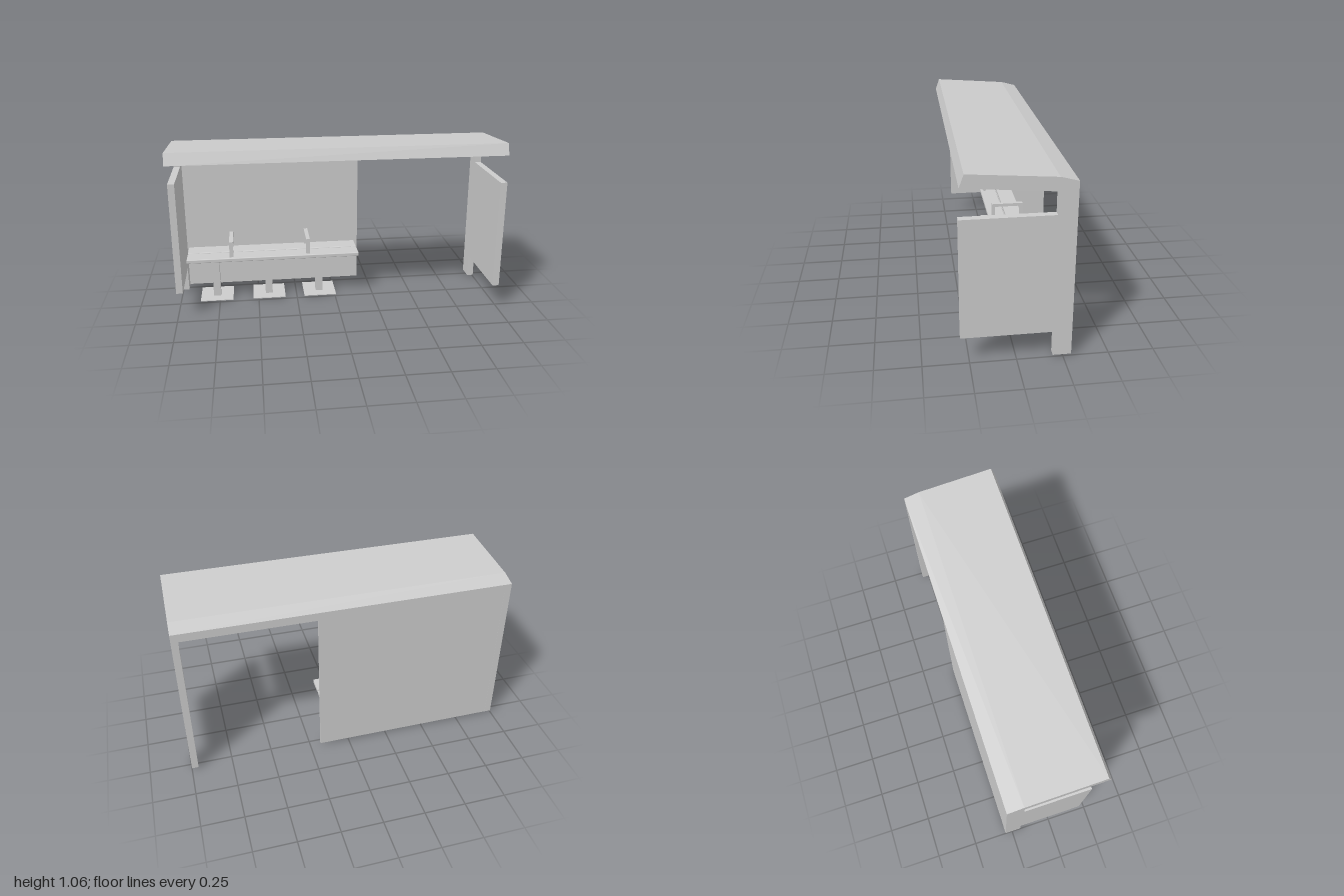
import * as THREE from 'three';
import { RoundedBoxGeometry } from 'three/addons/geometries/RoundedBoxGeometry.js';

const grey = new THREE.MeshStandardMaterial({ color: 0xcccccc });
const greyDouble = new THREE.MeshStandardMaterial({ color: 0xcccccc, side: THREE.DoubleSide });

// Box given by its lower and upper limits on each axis
function box(name, [x0, x1], [y0, y1], [z0, z1], radius = 0) {
  const w = x1 - x0, h = y1 - y0, d = z1 - z0;
  const geometry = radius ? new RoundedBoxGeometry(w, h, d, 1, radius) : new THREE.BoxGeometry(w, h, d);
  const mesh = new THREE.Mesh(geometry, grey);
  mesh.name = name;
  mesh.position.set((x0 + x1) / 2, (y0 + y1) / 2, (z0 + z1) / 2);
  return mesh;
}

// Hollow post: a box without its bottom (and hidden top) face
function post(name, xs) {
  const mesh = box(name, xs, [0.01, 0.955], [-0.295, -0.195]);
  const index = Array.from(mesh.geometry.index.array);
  mesh.geometry.setIndex([...index.slice(0, 12), ...index.slice(24)]);
  mesh.material = greyDouble;
  return mesh;
}

// Sloping roof with the rear beam, one profile in (z, y) extruded along x
function createRoof() {
  const profile = [[0.29, 0.99], [0.265, 1.06], [-0.2, 1.025], [-0.295, 1.0], [-0.295, 0.95], [-0.195, 0.95]];
  const shape = new THREE.Shape(profile.map(([z, y]) => new THREE.Vector2(-z, y)));
  const geometry = new THREE.ExtrudeGeometry(shape, { depth: 2, bevelEnabled: false });
  geometry.translate(0, 0, -1);
  geometry.rotateY(Math.PI / 2);
  const mesh = new THREE.Mesh(geometry, grey);
  mesh.name = 'roof';
  return mesh;
}

function createBench() {
  const bench = new THREE.Group();
  bench.name = 'bench';

  // Two seat planks on a central rail
  bench.add(
    box('frontPlank', [-0.945, 0.155], [0.275, 0.3], [-0.11, 0], 0.005),
    box('rearPlank', [-0.945, 0.155], [0.275, 0.3], [-0.23, -0.118], 0.005),
    box('seatRail', [-0.93, 0.065], [0.257, 0.276], [-0.165, -0.065]),
  );

  // Legs on flat foot plates
  for (const x of [-0.77, -0.43, -0.096]) {
    bench.add(
      box('leg', [x - 0.023, x + 0.023], [0.003, 0.258], [-0.14, -0.09]),
      box('footPlate', [x - 0.105, x + 0.105], [0, 0.004], [-0.23, -0.02]),
    );
  }

  // Armrests: two uprights and a bar
  for (const x of [-0.663, -0.173]) {
    const xs = [x - 0.012, x + 0.012];
    const armrest = new THREE.Group();
    armrest.name = 'armrest';
    armrest.add(
      box('frontUpright', xs, [0.295, 0.38], [-0.04, -0.02]),
      box('rearUpright', xs, [0.295, 0.38], [-0.225, -0.205]),
      box('armBar', xs, [0.38, 0.4], [-0.225, -0.02]),
    );
    bench.add(armrest);
  }
  return bench;
}

export function createModel() {
  const shelter = new THREE.Group();
  shelter.name = 'shelter';
  shelter.add(
    createRoof(),
    post('leftPost', [0.96, 1]),
    post('rightPost', [-1, -0.96]),
    // The left side panel is deeper and set lower than the right one
    box('leftSidePanel', [0.96, 1], [0.155, 0.826], [-0.196, 0.297]),
    box('rightSidePanel', [-1, -0.96], [0.165, 0.857], [-0.196, 0.196]),
    box('backPanel', [-0.962, 0.185], [0.01, 0.952], [-0.294, -0.284]),
    createBench(),
  );
  return shelter;
}
